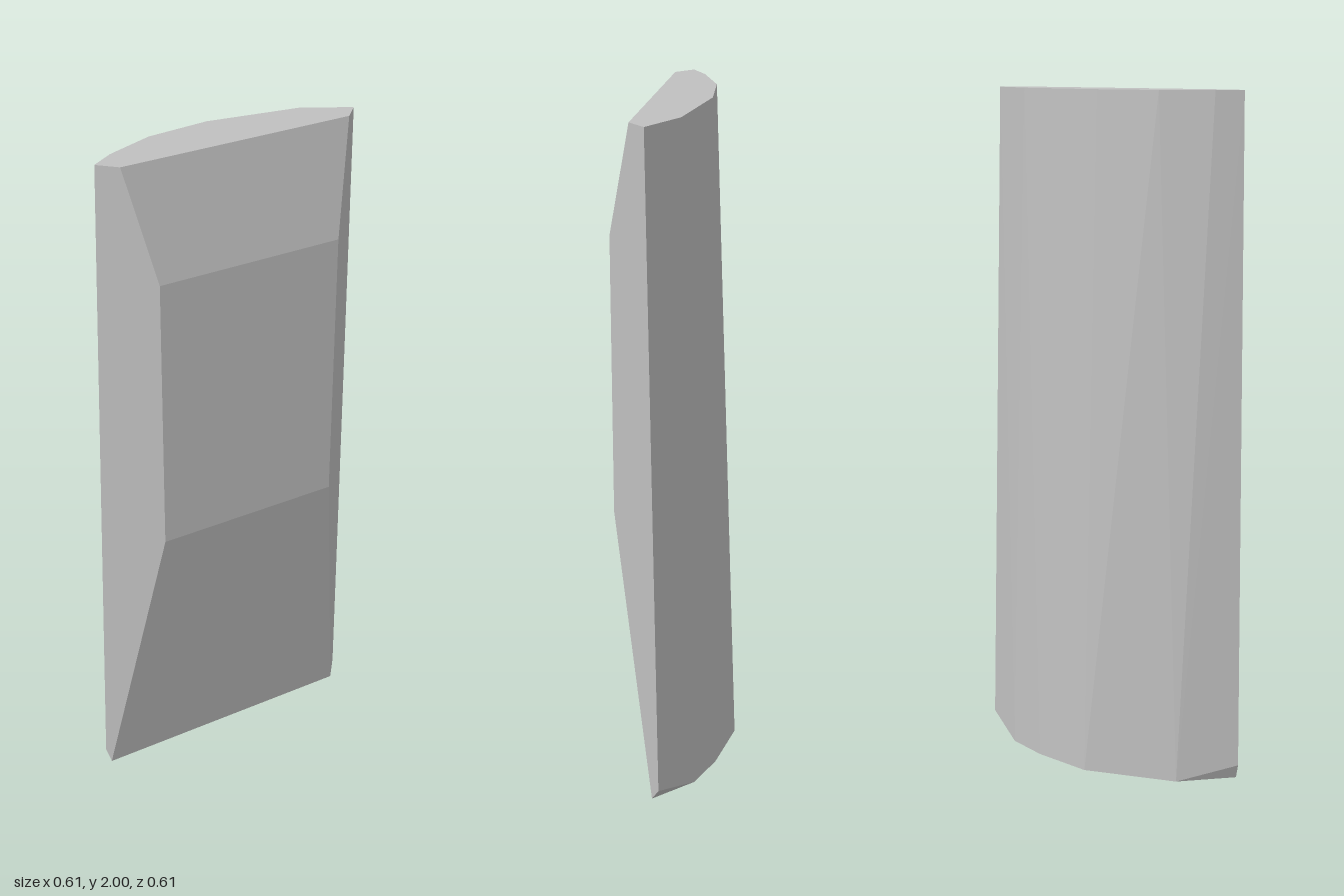
import * as THREE from 'three';
import { ConvexGeometry } from 'three/addons/geometries/ConvexGeometry.js';

export function createModel() {
  const group = new THREE.Group();
  group.name = 'facetedSlab';
  const stone = new THREE.MeshStandardMaterial({ color: 0xc0c0c0 });
  stone.name = 'light grey';

  const points = [];
  const add = (y, outline) => outline.forEach(([x, z]) => points.push(new THREE.Vector3(x, y, z)));

  // top rim: curved back, then straight front edge
  add(2, [[-0.262, 0.303], [-0.245, 0.225], [-0.182, 0.083], [-0.062, -0.06],
    [0.157, -0.219], [0.302, -0.26], [0.302, -0.191], [-0.194, 0.303]]);
  // raised front panel, between its upper and lower slopes
  for (const y of [1.68, 0.87]) add(y, [[-0.097, 0.303], [0.302, -0.093]]);
  // outer back corners, just above the ground
  add(0.045, [[-0.305, 0.303], [0.302, -0.306]]);
  // base: curved back, then straight front edge
  add(0, [[-0.271, 0.122], [-0.121, -0.119], [0.03, -0.222], [0.148, -0.275],
    [0.302, -0.272], [-0.288, 0.303]]);

  const slab = new THREE.Mesh(new ConvexGeometry(points), stone);
  slab.name = 'slab';
  group.add(slab);
  return group;
}
